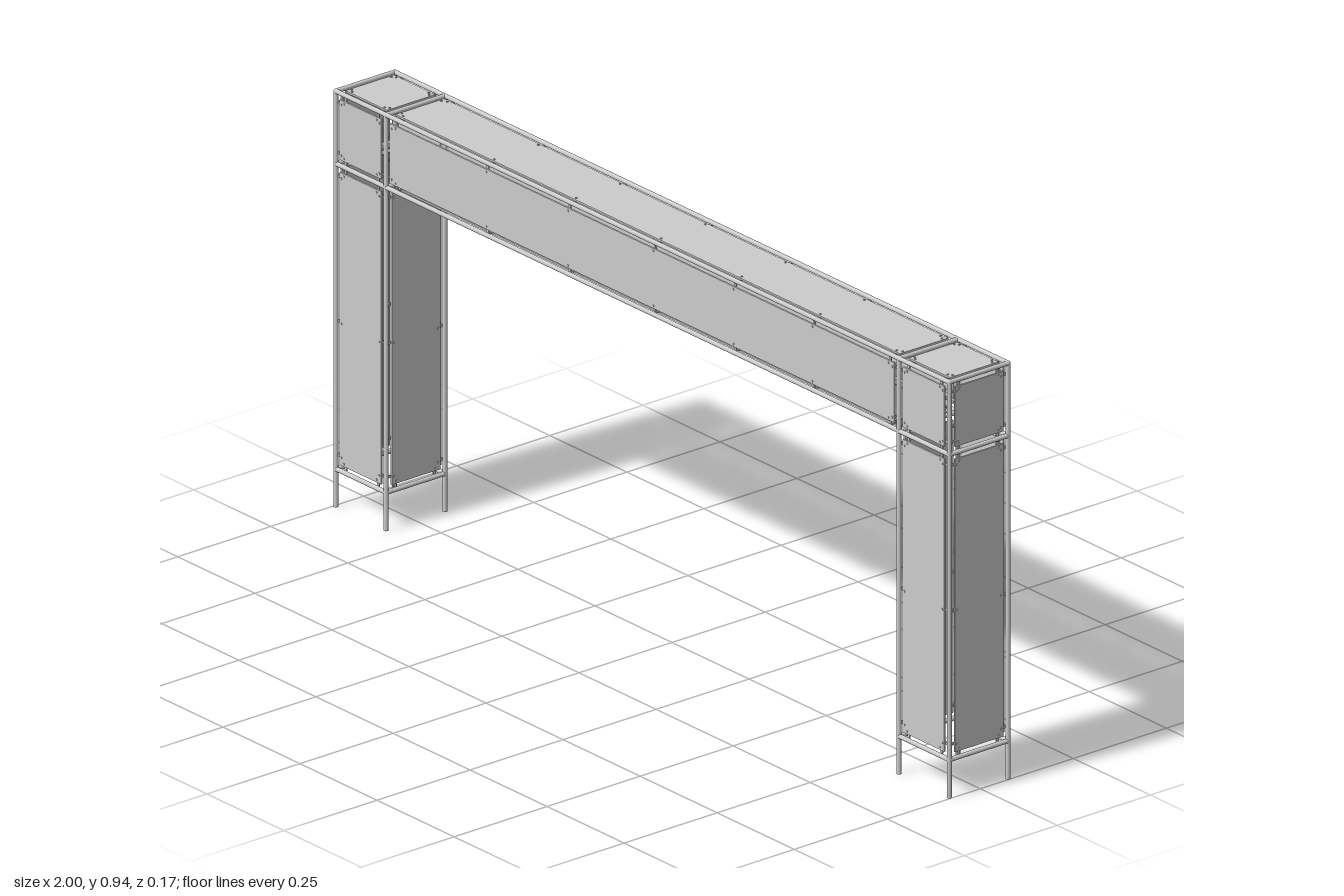
import * as THREE from 'three';

const material = new THREE.MeshStandardMaterial({ color: 0xcccccc });

// Frame grid: tube centre lines
const R = 0.0052;
const OUT = 0.9948, INN = 0.832, Z = 0.079;
const TOP = 0.935, MID = 0.772, LOW = 0.085;
const GAP = 0.014; // tube centre line to panel edge

function add(parent, name, geometry, x = 0, y = 0, z = 0) {
  const mesh = new THREE.Mesh(geometry, material);
  mesh.name = name;
  mesh.position.set(x, y, z);
  parent.add(mesh);
  return mesh;
}

// Round tube between two points
function tube(parent, name, a, b) {
  const from = new THREE.Vector3(...a), to = new THREE.Vector3(...b);
  const dir = to.clone().sub(from);
  const mesh = add(parent, name, new THREE.CylinderGeometry(R, R, dir.length(), 16));
  mesh.position.copy(from).add(to).multiplyScalar(0.5);
  mesh.quaternion.setFromUnitVectors(new THREE.Vector3(0, 1, 0), dir.normalize());
}

// Flat panel facing +z, held inside its w x h frame bay by clips at the given
// positions along the horizontal edges (us) and the vertical edges (vs)
function panel(parent, name, w, h, us, vs) {
  const group = new THREE.Group();
  group.name = name;
  const pw = w - 2 * GAP, ph = h - 2 * GAP;
  add(group, 'sheet', new THREE.BoxGeometry(pw, ph, 0.004));

  const clip = (x, y, dx, dy) => {
    const tab = new THREE.BoxGeometry(dx ? 0.02 : 0.006, dy ? 0.02 : 0.006, 0.003);
    add(group, 'clip', tab, x, y, -0.0034);
    const bolt = new THREE.CylinderGeometry(0.0025, 0.0025, 0.011, 8).rotateX(Math.PI / 2);
    add(group, 'bolt', bolt, x - dx * 0.006, y - dy * 0.006, -0.002);
  };
  for (const s of [-1, 1]) {
    for (const u of us) clip(u, s * (h / 2 - GAP), 0, s);
    for (const v of vs) clip(s * (w / 2 - GAP), v, s, 0);
  }
  parent.add(group);
  return group;
}

// Place a panel with a position and a turn about x or y
function place(group, x, y, z, turnX = 0, turnY = 0) {
  group.position.set(x, y, z);
  group.rotation.set(turnX, turnY, 0);
}

export function createModel() {
  const model = new THREE.Group();
  model.name = 'gateway';
  const H = Math.PI / 2;

  // Long rails of the beam, front and back
  const frame = new THREE.Group();
  frame.name = 'frame';
  model.add(frame);
  for (const z of [-Z, Z])
    for (const y of [MID, TOP]) tube(frame, 'beamRail', [-OUT, y, z], [OUT, y, z]);

  // Posts, cross bars and foot rings of both legs
  for (const s of [-1, 1]) {
    for (const x of [s * INN, s * OUT]) {
      for (const z of [-Z, Z]) {
        tube(frame, 'post', [x, 0, z], [x, TOP, z]);
        add(frame, 'cornerJoint', new THREE.SphereGeometry(R, 16, 10), x, TOP, z);
      }
      for (const y of [LOW, MID, TOP]) tube(frame, 'crossBar', [x, y, -Z], [x, y, Z]);
    }
    for (const z of [-Z, Z]) tube(frame, 'footRail', [s * INN, LOW, z], [s * OUT, LOW, z]);
  }

  // Leg and corner cladding
  const legH = MID - LOW, legY = (MID + LOW) / 2;
  const cubeH = TOP - MID, cubeY = (TOP + MID) / 2;
  const bayW = OUT - INN, bayX = (OUT + INN) / 2;
  const ends = [-0.053, 0.053];
  const legClips = [0.745 - legY, 0.418 - legY, 0.117 - legY];
  const cubeClips = [-0.057, 0.057];
  for (const s of [-1, 1]) {
    for (const f of [-1, 1]) {
      const turn = f > 0 ? 0 : Math.PI;
      place(panel(model, 'legFacePanel', bayW, legH, ends, legClips), s * bayX, legY, f * Z, 0, turn);
      place(panel(model, 'cornerFacePanel', bayW, cubeH, ends, cubeClips), s * bayX, cubeY, f * Z, 0, turn);
    }
    place(panel(model, 'legOuterPanel', 2 * Z, legH, ends, legClips), s * OUT, legY, 0, 0, s * H);
    place(panel(model, 'legInnerPanel', 2 * Z, legH, ends, legClips), s * INN, legY, 0, 0, -s * H);
    place(panel(model, 'cornerEndPanel', 2 * Z, cubeH, ends, cubeClips), s * OUT, cubeY, 0, 0, s * H);
    place(panel(model, 'cornerTopPanel', bayW, 2 * Z, ends, ends), s * bayX, TOP, 0, -H);
  }

  // Beam cladding on all four sides
  const along = [-0.8, -0.505, -0.24, 0.037, 0.297, 0.553, 0.8];
  const mirrored = along.map((u) => -u);
  place(panel(model, 'beamFrontPanel', 2 * INN, cubeH, along, cubeClips), 0, cubeY, Z);
  place(panel(model, 'beamBackPanel', 2 * INN, cubeH, mirrored, cubeClips), 0, cubeY, -Z, 0, Math.PI);
  place(panel(model, 'beamTopPanel', 2 * INN, 2 * Z, along, ends), 0, TOP, 0, -H);
  place(panel(model, 'beamBottomPanel', 2 * INN, 2 * Z, along, ends), 0, MID, 0, H);

  return model;
}
